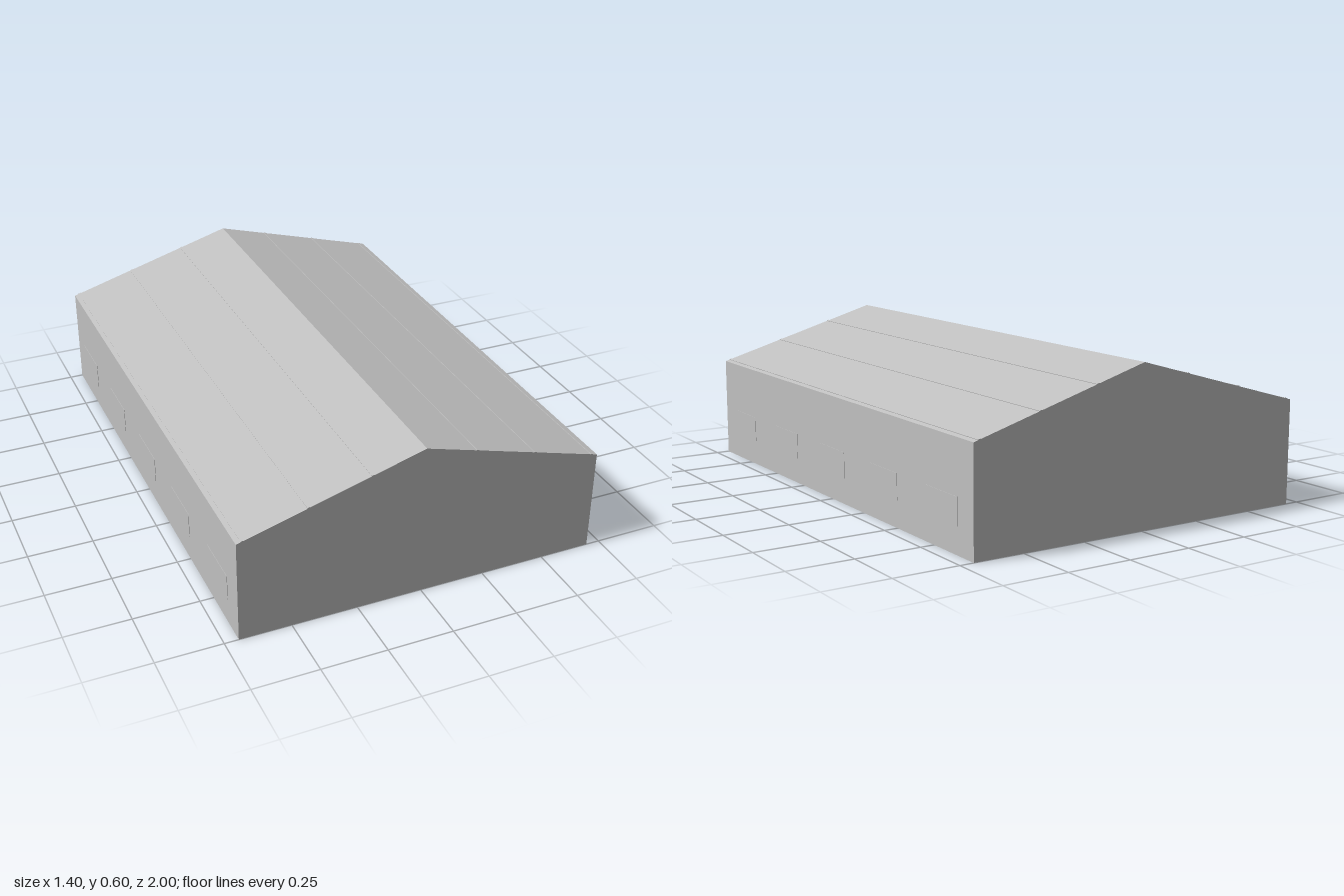
import * as THREE from 'three';

export function createModel() {
  const group = new THREE.Group();
  const grey = new THREE.MeshStandardMaterial({ color: 0xc0c0c0 });
  grey.name = 'pale grey';

  const halfW = 0.697, eave = 0.4, ridge = 0.6, length = 2;
  const slope = Math.atan2(ridge - eave, halfW);

  function add(name, geometry, x = 0, y = 0, z = 0, rotZ = 0) {
    const mesh = new THREE.Mesh(geometry, grey);
    mesh.name = name;
    mesh.position.set(x, y, z);
    mesh.rotation.z = rotZ;
    group.add(mesh);
  }

  // Gabled hall: one pentagon section run along its length
  const section = new THREE.Shape([
    new THREE.Vector2(-halfW, 0),
    new THREE.Vector2(halfW, 0),
    new THREE.Vector2(halfW, eave),
    new THREE.Vector2(0, ridge),
    new THREE.Vector2(-halfW, eave),
  ]);
  const hall = new THREE.ExtrudeGeometry(section, { depth: length, bevelEnabled: false });
  hall.translate(0, 0, -length / 2);
  add('hall', hall);

  for (const side of [-1, 1]) {
    // Fine seams along each roof slope
    for (const x of [0.2, 0.435, 0.675]) {
      const y = ridge - x * (ridge - eave) / halfW;
      add('roofSeam', new THREE.BoxGeometry(0.01, 0.004, length), side * x, y, 0, -side * slope);
    }
    // Almost flush panels along each long wall
    for (let i = -2; i <= 2; i++) {
      add('wallPanel', new THREE.BoxGeometry(0.003, 0.1, 0.2), side * halfW, 0.15, i * 0.4);
    }
  }
  return group;
}
